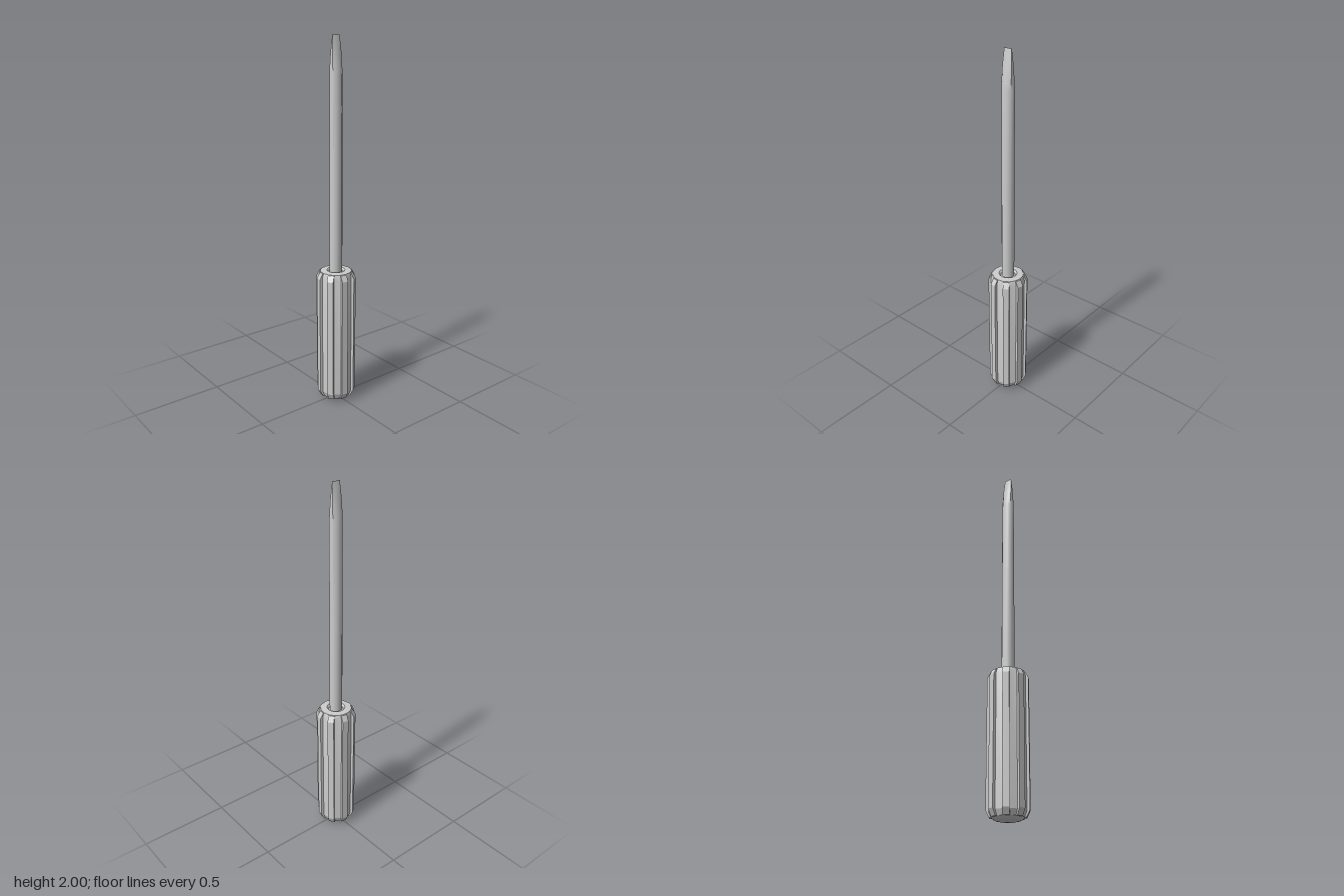
import * as THREE from 'three';
import { toCreasedNormals } from 'three/addons/utils/BufferGeometryUtils.js';

const RIBS = 8;
const TWIST = THREE.MathUtils.degToRad(10.5);

export function createModel() {
  const group = new THREE.Group();
  group.name = 'screwdriver';
  const flat = new THREE.MeshStandardMaterial({ color: 0xcccccc, flatShading: true });
  const smooth = new THREE.MeshStandardMaterial({ color: 0xcccccc });

  const add = (geometry, material, name, parent = group) => {
    const mesh = new THREE.Mesh(geometry, material);
    mesh.name = name;
    parent.add(mesh);
    return mesh;
  };

  // Handle core: faceted barrel with a domed butt and a small recess round the shaft
  const profile = [
    [0, 0.005], [0.04, 0.008], [0.066, 0.014], [0.083, 0.026], [0.094, 0.055],
    [0.094, 0.738], [0.086, 0.765], [0.05, 0.768], [0.041, 0.758], [0, 0.758],
  ].map(([r, y]) => new THREE.Vector2(r, y));
  const edgePhase = Math.PI / 2 - TWIST - Math.PI / 16;
  const core = new THREE.LatheGeometry(profile, 16, edgePhase);
  add(toCreasedNormals(core, 0.35), smooth, 'handleCore');

  // Grip ribs with chamfered ends
  const ribs = new THREE.Group();
  ribs.name = 'gripRibs';
  group.add(ribs);
  const ribShape = new THREE.Shape([
    [0.075, 0.025], [0.09, 0.025], [0.107, 0.06],
    [0.107, 0.73], [0.09, 0.762], [0.075, 0.762],
  ].map(([x, y]) => new THREE.Vector2(x, y)));
  const ribGeometry = new THREE.ExtrudeGeometry(ribShape, { depth: 0.035, bevelEnabled: false });
  ribGeometry.translate(0, 0, -0.0175);
  for (let i = 0; i < RIBS; i++) {
    const rib = add(ribGeometry, flat, 'gripRib', ribs);
    rib.rotation.y = -(TWIST + (i / RIBS) * Math.PI * 2);
  }

  // Shaft and blade: round rod pinched to a straight edge along z
  // Each section: height, half thickness in x, limit of z
  const sections = [
    [0.75, 0.034, 0.035], [1.38, 0.033, 0.035], [1.81, 0.029, 0.035],
    [1.84, 0.026, 0.034], [1.92, 0.015, 0.0285], [2, 0.0012, 0.023],
  ];
  const sides = 12;
  const positions = [];
  const index = [];
  for (const [y, halfX, limitZ] of sections) {
    for (let i = 0; i < sides; i++) {
      const a = (i / sides) * Math.PI * 2;
      positions.push(Math.cos(a) * halfX, y, THREE.MathUtils.clamp(Math.sin(a) * 0.035, -limitZ, limitZ));
    }
  }
  for (let s = 0; s < sections.length - 1; s++) {
    for (let i = 0; i < sides; i++) {
      const a = s * sides + i;
      const b = s * sides + ((i + 1) % sides);
      index.push(a, a + sides, b, b, a + sides, b + sides);
    }
  }
  // Tip cap
  const tip = (sections.length - 1) * sides;
  for (let i = 1; i < sides - 1; i++) index.push(tip, tip + i + 1, tip + i);
  const shaft = new THREE.BufferGeometry();
  shaft.setAttribute('position', new THREE.Float32BufferAttribute(positions, 3));
  shaft.setIndex(index);
  add(toCreasedNormals(shaft, 0.6), smooth, 'shaftAndBlade');

  return group;
}
